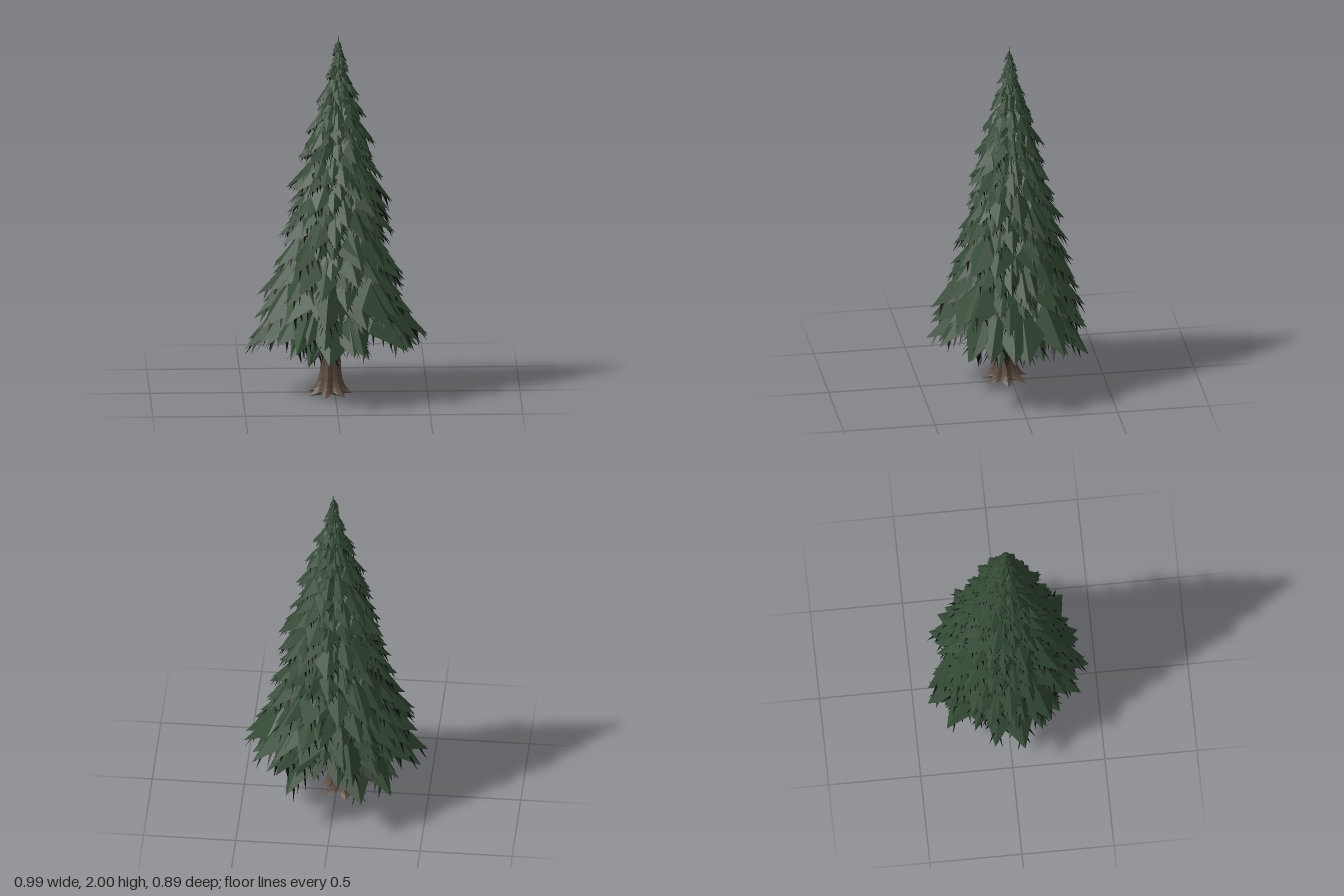
import * as THREE from 'three';

// Small seeded random generator
function makeRandom(seed) {
  return () => {
    seed = (seed * 1664525 + 1013904223) >>> 0;
    return seed / 4294967296;
  };
}

// Outline of the crown: [tip height, tip radius]
const CROWN = [[0.25, 0.5], [0.4, 0.45], [0.6, 0.385], [0.97, 0.3], [1.2, 0.25],
  [1.42, 0.195], [1.6, 0.135], [1.75, 0.08], [1.9, 0.034], [2.0, 0.008]];

function crownRadius(y) {
  let i = 0;
  while (i < CROWN.length - 2 && y > CROWN[i + 1][0]) i++;
  const [y0, r0] = CROWN[i], [y1, r1] = CROWN[i + 1];
  return THREE.MathUtils.lerp(r0, r1, THREE.MathUtils.clamp((y - y0) / (y1 - y0), 0, 1));
}

function meshFromPoints(points, material, name) {
  const geometry = new THREE.BufferGeometry().setFromPoints(points);
  geometry.computeVertexNormals();
  const mesh = new THREE.Mesh(geometry, material);
  mesh.name = name;
  return mesh;
}

// Leaning trunk whose foot spreads into lobed roots
function makeTrunk(material) {
  const geometry = new THREE.CylinderGeometry(1, 1, 1, 28, 20);
  const p = geometry.attributes.position;
  for (let i = 0; i < p.count; i++) {
    const t = p.getY(i) + 0.5;
    const y = 1.94 * t * t;
    const angle = Math.atan2(p.getZ(i), p.getX(i));
    const rim = Math.hypot(p.getX(i), p.getZ(i));
    const flare = Math.exp(-y / 0.045);
    const lobe = Math.cos(angle * 7);
    const r = rim * (0.057 * (1 - y / 2) * (1 + 0.05 * lobe) + flare * (0.043 + 0.024 * lobe));
    p.setXYZ(i, -0.03 + 0.05 * y / 2 + r * Math.cos(angle), y + 0.012 * flare * (1 - lobe) * rim,
      0.032 - 0.017 * y / 2 + r * Math.sin(angle));
  }
  geometry.computeVertexNormals();
  const mesh = new THREE.Mesh(geometry, material);
  mesh.name = 'trunk';
  return mesh;
}

export function createModel() {
  const needles = new THREE.MeshStandardMaterial({ color: 0x334934, flatShading: true, side: THREE.DoubleSide });
  const darkNeedles = new THREE.MeshStandardMaterial({ color: 0x0a0d0a, flatShading: true, side: THREE.DoubleSide });
  const bark = new THREE.MeshStandardMaterial({ color: 0x5d4d42, flatShading: true });

  const tree = new THREE.Group();
  tree.name = 'firTree';
  tree.add(makeTrunk(bark));

  const random = makeRandom(41);
  const vary = (amount) => 1 + (random() * 2 - 1) * amount;

  // One drooping bough: a folded kite over a comb of thin dark sprigs
  function addBough(green, dark, angle, tipY, radius, drop, width) {
    const lean = tipY / 2;
    const c = Math.cos(angle), s = Math.sin(angle);
    const at = (out, y, side) => new THREE.Vector3(
      0.02 * lean + c * out - s * side, y, 0.015 * lean + (s * out + c * side) * 0.92);
    const root = at(radius * 0.06, tipY + drop, 0);
    const ridge = at(radius * 0.6, tipY + drop * 0.64, 0);
    const tip = at(radius, tipY, 0);
    for (const side of [1, -1]) {
      const edge = at(radius * 0.69 * vary(0.08), tipY + drop * 0.3 * vary(0.25), side * width * vary(0.15));
      if (side > 0) green.push(root, edge, ridge, ridge, edge, tip);
      else green.push(root, ridge, edge, ridge, tip, edge);

      // Sprigs fan out from the spine and hang past the edge
      for (const t of [0.1, 0.35, 0.6, 0.85]) {
        const out = radius * (0.42 + 0.4 * t);
        const spineY = tipY + drop * (0.62 - 0.36 * t);
        dark.push(at(out, spineY, 0), at(out + radius * 0.11, spineY - drop * 0.12, 0),
          at(radius * (0.66 + 0.33 * t) * vary(0.06), tipY + drop * (0.14 - 0.24 * t) * vary(0.7),
            side * width * (1.12 - 0.8 * t) * vary(0.25)));
      }
    }
  }

  // Overlapping whorls of boughs, smaller and closer together toward the top
  let y = 0.27, turn = 0, index = 0;
  while (y < 1.94) {
    const green = [], dark = [];
    const count = Math.round(9 + 10 * crownRadius(y) / 0.49);
    for (let i = 0; i < count; i++) {
      const angle = turn + (i + (random() - 0.5) * 0.5) / count * Math.PI * 2;
      const tipY = y + (random() - 0.5) * 0.09 * (1.1 - y / 2);
      // A rising spiral step makes the outline bulge and recede
      const step = (tipY / 0.15 + angle / (Math.PI * 2)) % 1;
      const bulge = 1.04 - step * (0.1 + 0.13 * tipY);
      const inner = i % 4 === 3 ? 0.78 : 1;
      const radius = Math.min(crownRadius(tipY) * bulge * inner * vary(0.07), 0.5);
      const drop = Math.min(radius * 0.74 * vary(0.12) + 0.015, 1.985 - tipY);
      addBough(green, dark, angle, tipY, radius, drop, (0.19 * radius + 0.004) * vary(0.2));
    }
    const group = new THREE.Group();
    group.name = 'whorl' + (index + 1);
    group.add(meshFromPoints(green, needles, 'boughs'), meshFromPoints(dark, darkNeedles, 'darkSprigs'));
    tree.add(group);
    y += 0.024 + 0.038 * crownRadius(y) / 0.49;
    turn += 2.4;
    index++;
  }

  // Pointed leader at the top
  const leader = new THREE.Mesh(new THREE.ConeGeometry(0.013, 0.13, 6), needles);
  leader.name = 'leader';
  leader.position.set(0.02, 1.935, 0.015);
  tree.add(leader);
  return tree;
}
